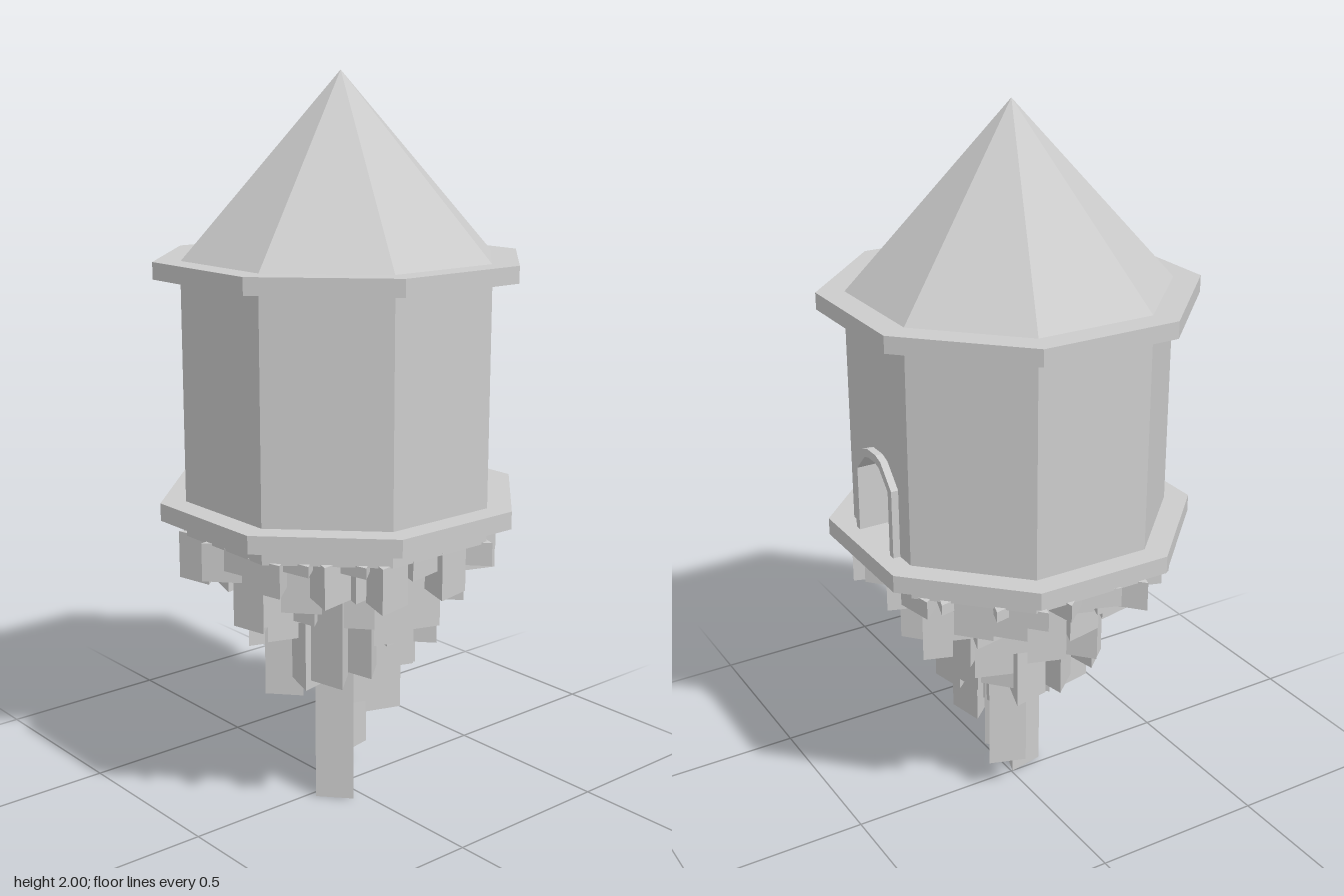
import * as THREE from 'three';

const APOTHEM = 0.4;
const toRadius = (apothem) => apothem / Math.cos(Math.PI / 8);

export function createModel() {
  const group = new THREE.Group();
  const material = new THREE.MeshStandardMaterial({ color: 0xcccccc, flatShading: true });

  const add = (name, geometry, parent = group) => {
    const mesh = new THREE.Mesh(geometry, material);
    mesh.name = name;
    parent.add(mesh);
    return mesh;
  };

  // Eight-sided slab or cone with flat sides facing the axes
  const octagon = (name, topApothem, bottomApothem, y0, y1) => {
    const geometry = new THREE.CylinderGeometry(
      toRadius(topApothem), toRadius(bottomApothem), y1 - y0, 8, 1, false, Math.PI / 8);
    add(name, geometry).position.y = (y0 + y1) / 2;
  };
  octagon('roof', 0, APOTHEM, 1.52, 2);
  octagon('roofLedge', 0.467, 0.467, 1.477, 1.522);
  octagon('floorLedge', 0.464, 0.464, 0.833, 0.881);
  octagon('foundation', APOTHEM, APOTHEM, 0.785, 0.84);

  // Arch outline from half of its points, mirrored
  const archPoints = (half) => [
    ...half.map(([x, y]) => new THREE.Vector2(x, y)),
    ...half.slice().reverse().map(([x, y]) => new THREE.Vector2(-x, y)),
  ];
  const outer = archPoints([[0.108, 0.87], [0.108, 1.07], [0.052, 1.13], [0.025, 1.14]]);
  const inner = archPoints([[0.088, 0.87], [0.088, 1.062], [0.042, 1.11], [0.02, 1.118]]);

  // Wall panels; the one on the left side has the doorway cut out
  const walls = new THREE.Group();
  walls.name = 'walls';
  group.add(walls);
  const w = APOTHEM * Math.tan(Math.PI / 8);
  for (let i = 0; i < 8; i++) {
    const panel = new THREE.Shape([
      new THREE.Vector2(-w, 0.86), new THREE.Vector2(w, 0.86),
      new THREE.Vector2(w, 1.5), new THREE.Vector2(-w, 1.5),
    ]);
    if (i === 2) panel.holes.push(new THREE.Path(inner));
    const geometry = new THREE.ShapeGeometry(panel);
    geometry.translate(0, 0, APOTHEM);
    add('wallPanel', geometry, walls).rotation.y = (i * Math.PI) / 4;
  }

  // Door surround standing proud of the wall, with a deep recess behind it
  const doorway = new THREE.Group();
  doorway.name = 'doorway';
  doorway.rotation.y = Math.PI / 2;
  group.add(doorway);
  const surround = new THREE.Shape(outer);
  surround.holes.push(new THREE.Path(inner));
  add('doorSurround', new THREE.ExtrudeGeometry(surround, { depth: 0.09, bevelEnabled: false }), doorway)
    .position.z = 0.33;
  add('doorPanel', new THREE.ShapeGeometry(new THREE.Shape(inner)), doorway).position.z = 0.331;

  // Hanging rock: three-sided columns that reach lower towards the middle
  const rock = new THREE.Group();
  rock.name = 'hangingRock';
  group.add(rock);
  let seed = 11;
  const random = () => (seed = (seed * 16807) % 2147483647) / 2147483647;
  const column = (x, z, bottom, quarterTurns) => {
    const geometry = new THREE.CylinderGeometry(0.062, 0.062, 0.79 - bottom, 3);
    const mesh = add('rockColumn', geometry, rock);
    mesh.position.set(x, (0.79 + bottom) / 2, z);
    mesh.rotation.y = 0.2 + (quarterTurns * Math.PI) / 2;
  };

  // Lowest columns around the centre
  column(-0.05, 0.04, 0, 0);
  column(0.05, -0.05, 0.105, 1);
  column(0.02, 0.0, 0.115, 2);
  column(0.1, 0.05, 0.23, 3);
  column(0.05, 0.05, 0.27, 3);
  column(-0.05, -0.05, 0.32, 2);

  // Rings of the main grid: outer radius, mean bottom, random spread
  const rings = [[0.2, 0.36, 0.1], [0.24, 0.45, 0.1], [0.3, 0.56, 0.1], [0.36, 0.64, 0.08], [0.42, 0.7, 0.08]];
  const step = 0.103;

  // Main grid, then shallower columns filling the gaps between
  for (const [offset, lift] of [[0.5, 0], [0, 0.09]]) {
    for (let i = -4; i < 4; i++) {
      for (let j = -4; j < 4; j++) {
        const x = (i + offset) * step;
        const z = (j + offset) * step;
        const r = Math.hypot(x, z);
        if (r < 0.1 || r > 0.41 || Math.max(Math.abs(x), Math.abs(z)) > 0.37) continue;
        const [, mean, spread] = rings.find(([limit]) => r < limit);
        const bottom = mean + lift + (random() - 0.5) * spread;
        column(x, z, Math.min(bottom, 0.76), Math.floor(random() * 4));
      }
    }
  }
  return group;
}
